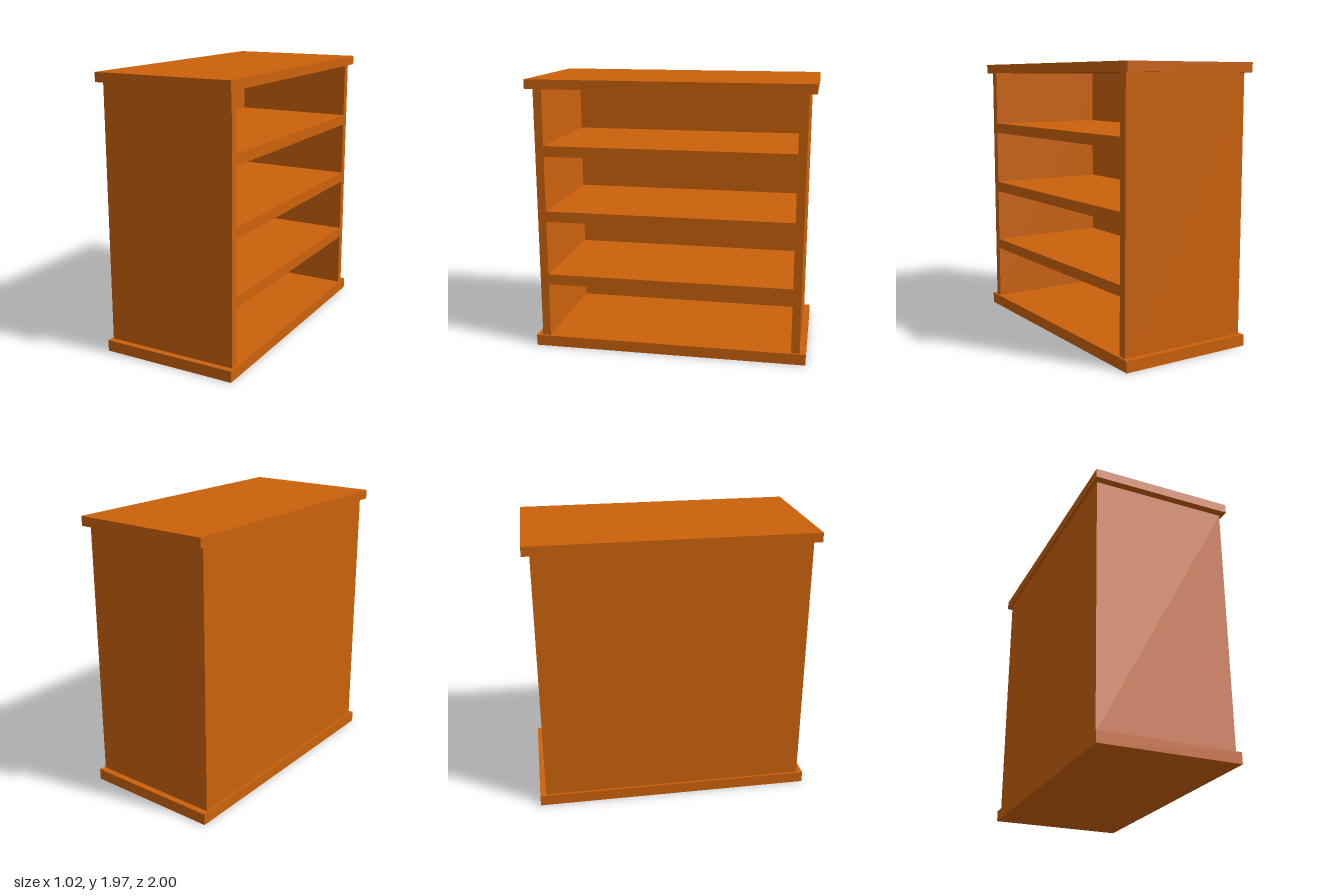
import * as THREE from 'three';

export function createModel() {
  const model = new THREE.Group();
  model.name = 'bookcase';
  const wood = new THREE.MeshStandardMaterial({ color: 0xcc620c });
  wood.name = 'orange wood';

  // Axis-aligned board given by its lower and upper corners
  function board(name, [x0, y0, z0], [x1, y1, z1]) {
    const mesh = new THREE.Mesh(new THREE.BoxGeometry(x1 - x0, y1 - y0, z1 - z0), wood);
    mesh.position.set((x0 + x1) / 2, (y0 + y1) / 2, (z0 + z1) / 2);
    mesh.name = name;
    model.add(mesh);
  }

  const halfDepth = 0.483, halfWidth = 0.947, inner = 0.887;
  const floor = 0.08, ceiling = 1.902, back = 0.06;

  // Overhanging base and top slabs
  board('base', [-0.498, 0, -0.99], [0.498, floor, 0.99]);
  board('top', [-0.508, ceiling, -1], [0.508, 1.968, 1]);

  // Upright end panels
  board('leftEndPanel', [-halfDepth, floor, inner], [halfDepth, ceiling, halfWidth]);
  board('rightEndPanel', [-halfDepth, floor, -halfWidth], [halfDepth, ceiling, -inner]);

  // Back panel closing the -x side, between the ends
  board('backPanel', [-halfDepth, floor, -inner], [-halfDepth + back, ceiling, inner]);

  // Evenly spaced shelves, flush with the end panels at the open side
  for (let i = 0; i < 3; i++) {
    const y = 0.479 + i * 0.474;
    board(`shelf${i + 1}`, [-halfDepth + back, y, -inner], [halfDepth, y + 0.076, inner]);
  }
  return model;
}
